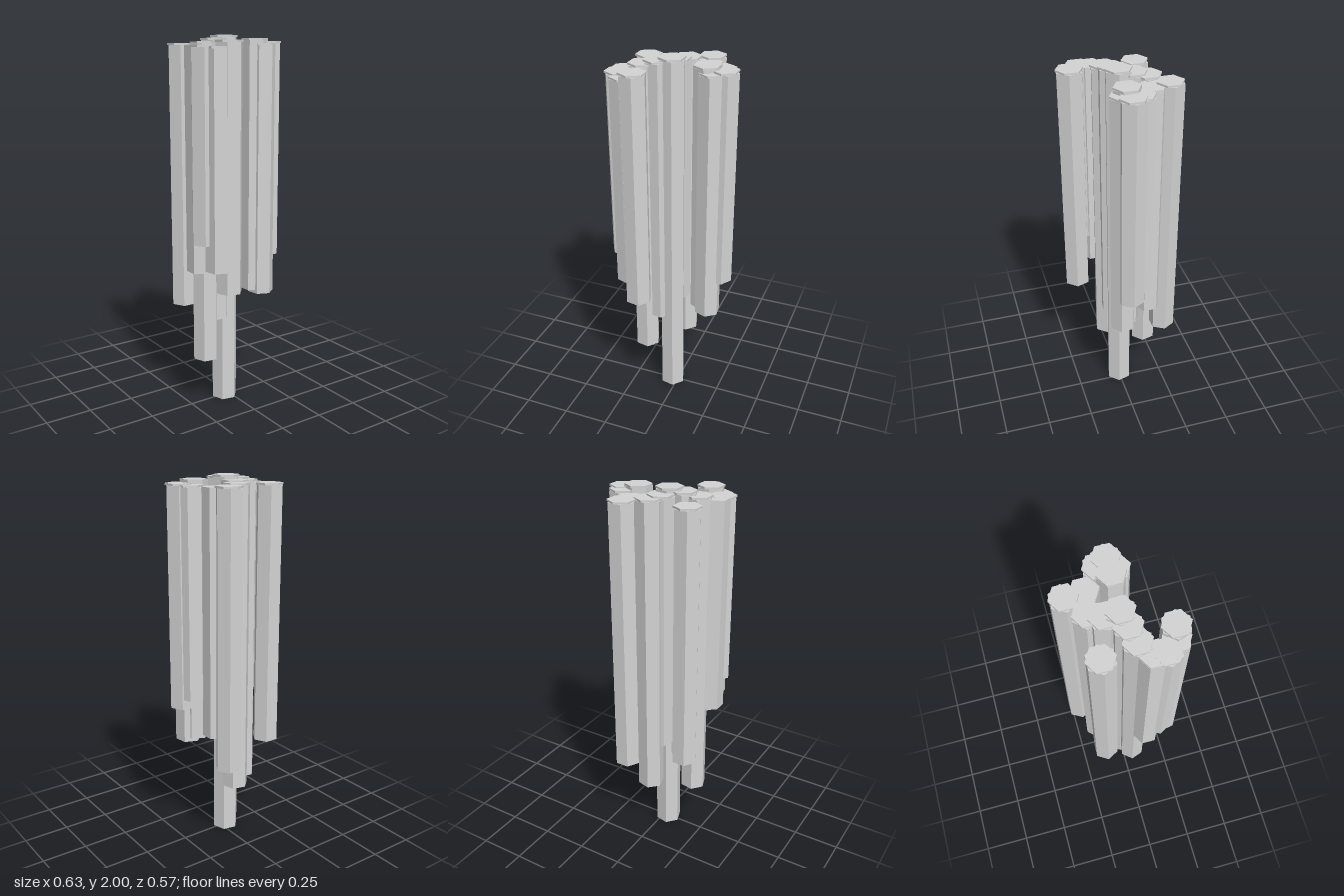
import * as THREE from 'three';

// Each column: x, z, bottom, top, twist in degrees (a corner's angle from +x towards +z)
const COLUMNS = [
  [-0.208, -0.134, 0.555, 1.96, 2],
  [0.106, -0.215, 0.485, 1.965, 0],
  [0.003, -0.137, 0.33, 1.97, 15],
  [-0.028, -0.075, 0.585, 1.978, -12],
  [0.119, -0.121, 0.65, 1.955, 30],
  [0.215, -0.038, 0.86, 1.964, 12],
  [0.245, 0.01, 0.805, 1.97, 3],
  [0.156, 0.012, 0.615, 1.985, 27],
  [0.19, 0.039, 0.595, 1.96, 22],
  [-0.031, 0, 0, 2, 12],
  [-0.101, 0.015, 0.495, 1.985, 8],
  [-0.175, 0.035, 0.28, 1.968, 10],
  [-0.241, 0.09, 0.8, 1.951, 30],
  [-0.247, 0.146, 0.96, 1.952, 0],
  [-0.145, 0.214, 0.7, 1.975, 11],
  [-0.198, 0.199, 0.82, 1.945, 20],
];
const CAP = 0.01;

export function createModel() {
  const model = new THREE.Group();
  model.name = 'hexagonalColumns';
  const stone = new THREE.MeshStandardMaterial({ color: 0xd3d3d3 });
  stone.name = 'light grey stone';
  stone.flatShading = true;

  // Hexagonal prism standing between two heights
  const prism = (name, radius, bottom, top, turn) => {
    const mesh = new THREE.Mesh(
      new THREE.CylinderGeometry(radius, radius, top - bottom, 6), stone);
    mesh.name = name;
    mesh.position.y = (bottom + top) / 2;
    mesh.rotation.y = turn;
    return mesh;
  };

  COLUMNS.forEach(([x, z, bottom, top, twist], i) => {
    const column = new THREE.Group();
    column.name = `column${i + 1}`;
    column.position.set(x, 0, z);
    // Twisted shaft with a thin cap whose corners point to front and back
    column.add(prism('shaft', 0.071, bottom, top - CAP, THREE.MathUtils.degToRad(30 - twist)));
    column.add(prism('cap', 0.07, top - CAP, top, 0));
    model.add(column);
  });
  return model;
}
